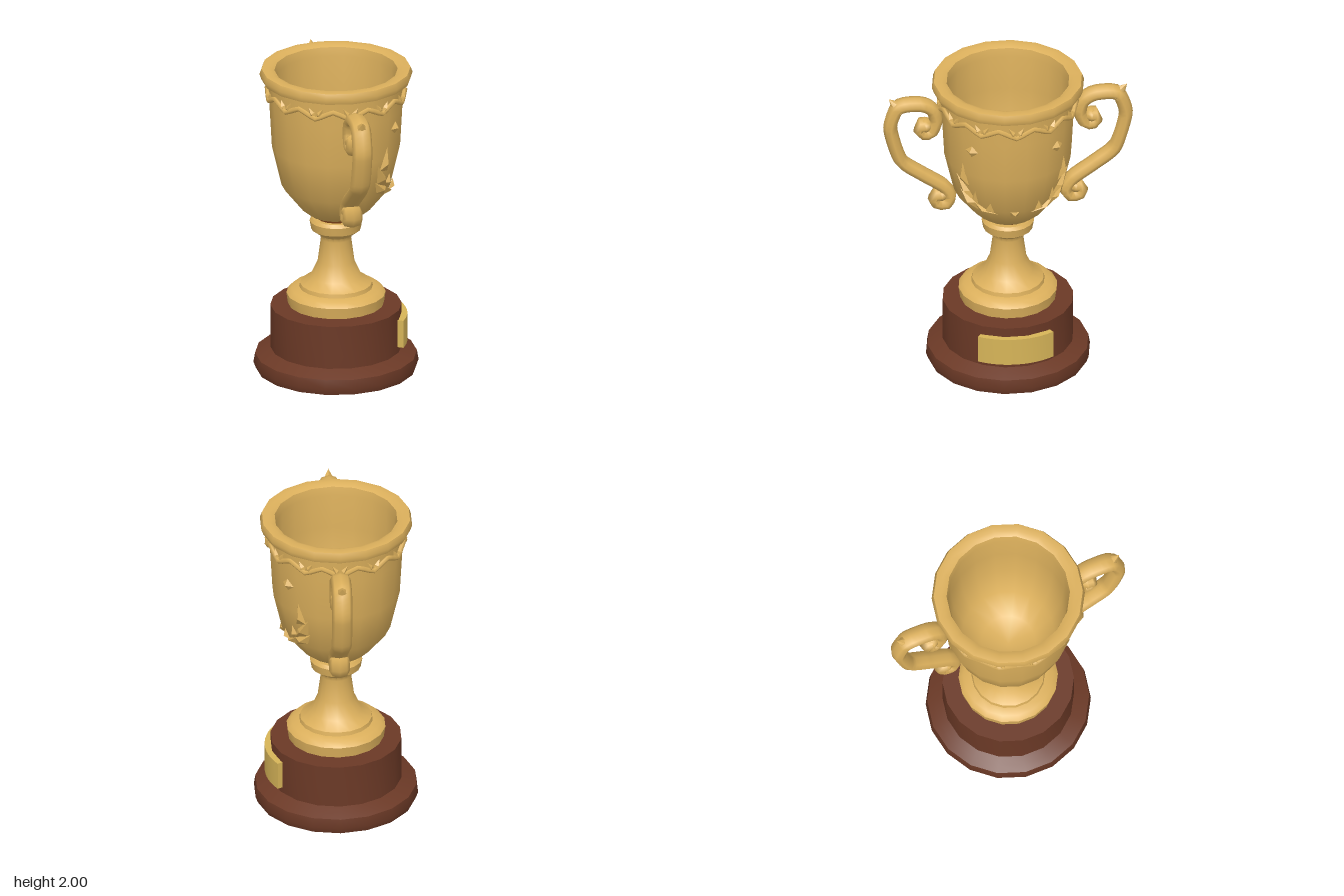
import * as THREE from 'three';
import { toCreasedNormals } from 'three/addons/utils/BufferGeometryUtils.js';

const SIDES = 18;

// Outer wall of the cup as [radius, height]
const CUP = [[0.09, 1.0], [0.17, 1.03], [0.22, 1.07], [0.34, 1.22], [0.4, 1.48], [0.415, 1.75], [0.425, 1.92]];

function cupRadius(y) {
  for (let i = 1; i < CUP.length; i++) {
    const [r0, y0] = CUP[i - 1], [r1, y1] = CUP[i];
    if (y <= y1) return r0 + (r1 - r0) * (y - y0) / (y1 - y0);
  }
  return CUP[CUP.length - 1][0];
}

function lathe(points, crease = 0.75) {
  const g = new THREE.LatheGeometry(points.map(([r, y]) => new THREE.Vector2(r, y)), SIDES);
  return toCreasedNormals(g, crease);
}

// Raised, faceted ornament laid on the cup wall: outline in [angle from +x towards +z, height]
function emblem(outline, lift) {
  const on = (a, y, off) => {
    const r = cupRadius(y) + off;
    return [Math.cos(a) * r, y, Math.sin(a) * r];
  };
  const n = outline.length;
  const mid = outline.reduce((s, p) => [s[0] + p[0] / n, s[1] + p[1] / n], [0, 0]);
  const verts = [];
  outline.forEach((p, i) => {
    const q = outline[(i + 1) % n];
    verts.push(...on(...p, 0.004), ...on(...q, 0.004), ...on(...mid, lift));
  });
  const g = new THREE.BufferGeometry();
  g.setAttribute('position', new THREE.Float32BufferAttribute(verts, 3));
  g.computeVertexNormals();
  return g;
}

export function createModel() {
  const model = new THREE.Group();
  model.name = 'trophy';
  const mat = (name, color, side = THREE.FrontSide) => {
    const m = new THREE.MeshStandardMaterial({ color, side });
    m.name = name;
    return m;
  };
  const gold = mat('gold', 0xdcb05c, THREE.DoubleSide);
  const wood = mat('darkWood', 0x6b3926);
  const brass = mat('brass', 0xd6b458);
  const copper = mat('copper', 0xa85a24);
  const add = (name, geometry, material, parent = model) => {
    const mesh = new THREE.Mesh(geometry, material);
    mesh.name = name;
    parent.add(mesh);
    return mesh;
  };

  // Wooden base with a stepped foot
  add('base', lathe([[0, 0], [0.5, 0], [0.515, 0.04], [0.505, 0.1], [0.46, 0.12], [0.41, 0.14], [0.41, 0.42], [0, 0.42]]), wood);

  // Stem with its foot ring and collar
  add('stem', lathe([
    [0, 0.42], [0.3, 0.43], [0.31, 0.5], [0.28, 0.53], [0.23, 0.54], [0.225, 0.565], [0.16, 0.61], [0.115, 0.71],
    [0.095, 0.86], [0.1, 0.885], [0.155, 0.925], [0.165, 0.98], [0.15, 1.0], [0, 1.0],
  ]), gold);
  add('joint', new THREE.CylinderGeometry(0.135, 0.12, 0.02, SIDES), copper).position.y = 1.009;

  // Cup: outer wall, rolled rim and hollow inside in one profile
  add('cup', lathe([
    ...CUP, [0.465, 1.925], [0.478, 1.96], [0.465, 1.995], [0.42, 2.0], [0.385, 1.985], [0.375, 1.93],
    [0.375, 1.7], [0.355, 1.45], [0.29, 1.24], [0.17, 1.12], [0, 1.08],
  ], 0.95), gold);

  // Zigzag garland around the cup, with a pair of small leaves at every low point
  const garland = new THREE.Group();
  garland.name = 'garland';
  model.add(garland);
  const wave = [];
  for (let i = 0; i < 24; i++) {
    const a = i * Math.PI / 12;
    wave.push(new THREE.Vector3(Math.cos(a) * 0.428, i % 2 ? 1.86 : 1.81, Math.sin(a) * 0.428));
  }
  add('garlandBand', new THREE.TubeGeometry(new THREE.CatmullRomCurve3(wave, true, 'catmullrom', 0.15), 72, 0.017, 5, true), gold, garland);
  for (let i = 0; i < 12; i++) {
    for (const s of [-1, 1]) {
      const a = i * Math.PI / 6;
      const leaf = [[a, 1.815], [a + s * 0.02, 1.85], [a + s * 0.11, 1.88], [a + s * 0.09, 1.82]];
      add('garlandLeaf', emblem(s > 0 ? leaf.reverse() : leaf, 0.025), gold, garland);
    }
  }

  // Laurel branches and diamonds, mirrored on the decorated side
  const ornaments = new THREE.Group();
  ornaments.name = 'ornaments';
  model.add(ornaments);
  const shapes = {
    diamond: [[0.265, 1.71], [0.3, 1.67], [0.265, 1.63], [0.23, 1.67]],
    upperLeaf: [[0.315, 1.56], [0.325, 1.41], [0.275, 1.39]],
    middleLeaf: [[0.345, 1.45], [0.31, 1.32], [0.22, 1.26], [0.27, 1.35]],
    sideLeaf: [[0.32, 1.33], [0.29, 1.25], [0.2, 1.2], [0.23, 1.27]],
    innerLeaf: [[0.24, 1.36], [0.255, 1.3], [0.215, 1.25]],
    lowerLeaf: [[0.25, 1.28], [0.21, 1.21], [0.1, 1.195], [0.17, 1.23]],
    bottomLeaf: [[0.15, 1.29], [0.18, 1.22], [0.125, 1.215]],
  };
  for (const [name, outline] of Object.entries(shapes)) {
    for (const s of [-1, 1]) {
      // outlines hold the sideways distance; turn it into an angle on the wall
      const pts = outline.map(([z, y]) => [s * Math.asin(z / cupRadius(y)), y]);
      add(name, emblem(s < 0 ? pts.reverse() : pts, 0.03), gold, ornaments);
    }
  }
  add('centreStud', emblem([[-0.08, 1.225], [0.08, 1.225], [0.075, 1.175], [-0.075, 1.175]].reverse(), 0.028), gold, ornaments);

  // Scrolled handles, front and back, wider than they are thick
  const scroll = [
    [0.52, 1.70], [0.56, 1.695], [0.54, 1.65], [0.485, 1.65], [0.452, 1.73], [0.475, 1.81], [0.54, 1.85],
    [0.64, 1.855], [0.70, 1.83], [0.74, 1.69], [0.675, 1.46], [0.55, 1.355], [0.41, 1.255], [0.365, 1.185],
    [0.39, 1.13], [0.45, 1.14], [0.462, 1.19], [0.42, 1.195],
  ].map(([z, y]) => new THREE.Vector3(0, y, z));
  const path = new THREE.CatmullRomCurve3(scroll, false, 'catmullrom', 0.35);
  for (const [name, turn] of [['frontHandle', 0], ['backHandle', Math.PI]]) {
    const handle = new THREE.Group();
    handle.name = name;
    handle.rotation.y = turn;
    handle.position.x = 0.004;
    model.add(handle);
    add('scroll', new THREE.TubeGeometry(path, 50, 0.044, 8), gold, handle).scale.x = 1.45;
    for (const end of [scroll[0], scroll[scroll.length - 1]]) {
      const knob = add('scrollEnd', new THREE.SphereGeometry(0.045, 8, 6), gold, handle);
      knob.position.copy(end);
      knob.scale.x = 1.45;
    }
    // pointed corner at the top of the bend
    const tip = add('tip', new THREE.ConeGeometry(0.06, 0.11, 6), gold, handle);
    tip.position.set(0, 1.862, 0.712);
    tip.rotation.x = 0.75;
  }

  // Curved plaque on the base
  const arc = new THREE.Shape();
  arc.absarc(0, 0, 0.445, -0.56, 0.56, false);
  arc.absarc(0, 0, 0.395, 0.56, -0.56, true);
  arc.closePath();
  const plaque = new THREE.ExtrudeGeometry(arc, { depth: 0.18, bevelEnabled: false, curveSegments: 6 });
  plaque.rotateX(-Math.PI / 2);
  add('plaque', toCreasedNormals(plaque, 0.6), brass).position.y = 0.18;

  return model;
}
